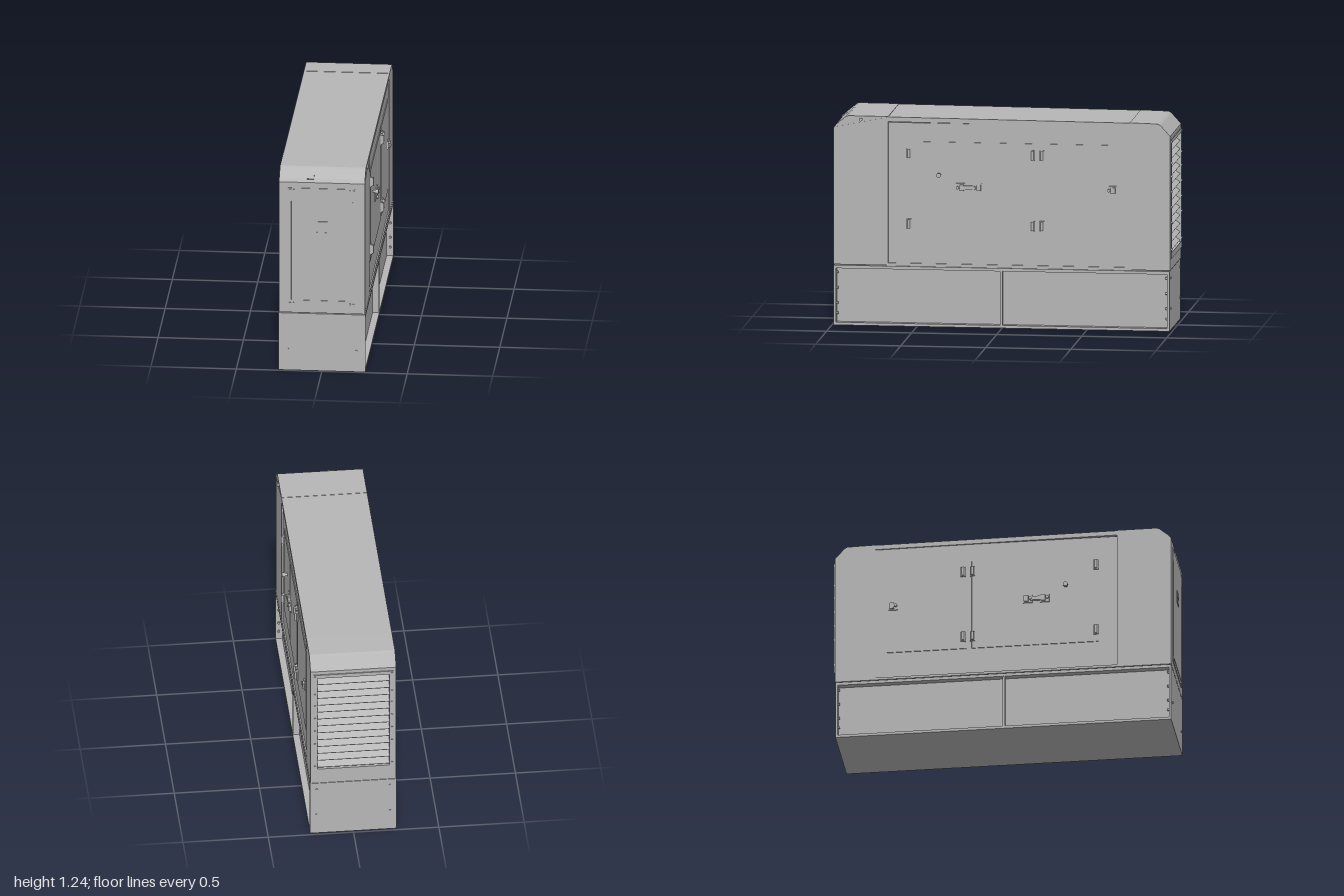
import * as THREE from 'three';

const paint = new THREE.MeshStandardMaterial({ color: 0xb6b6b6 });
paint.name = 'grey paint';

export function createModel() {
  const root = new THREE.Group();
  root.name = 'generatorEnclosure';

  function add(name, geo, parent = root, x = 0, y = 0, z = 0) {
    const m = new THREE.Mesh(geo, paint);
    m.name = name;
    m.position.set(x, y, z);
    parent.add(m);
    return m;
  }
  // Box given by its limits on each axis
  function block(name, x0, x1, y0, y1, z0, z1, parent = root) {
    return add(name, new THREE.BoxGeometry(x1 - x0, y1 - y0, z1 - z0), parent,
      (x0 + x1) / 2, (y0 + y1) / 2, (z0 + z1) / 2);
  }
  // Side profile of [z, y] points, extruded across the width
  function profile(name, pts, half) {
    const geo = new THREE.ExtrudeGeometry(new THREE.Shape(pts.map(p => new THREE.Vector2(...p))),
      { depth: half * 2, bevelEnabled: false });
    geo.translate(0, 0, -half).rotateY(-Math.PI / 2);
    return add(name, geo);
  }
  function rect(x0, x1, y0, y1, Type = THREE.Shape) {
    return new Type([[x0, y0], [x1, y0], [x1, y1], [x0, y1]].map(p => new THREE.Vector2(...p)));
  }
  // Cylinder along x or z
  function rod(name, r, len, axis, x, y, z, parent = root) {
    const geo = new THREE.CylinderGeometry(r, r, len, 14);
    if (axis === 'x') geo.rotateZ(Math.PI / 2);
    else geo.rotateX(Math.PI / 2);
    return add(name, geo, parent, x, y, z);
  }

  // Base tank with flanged, recessed sides
  block('baseCore', -0.215, 0.215, 0.01, 0.345, -0.975, 0.98);
  block('baseBottomFlange', -0.254, 0.254, 0, 0.016, -0.985, 0.99);
  block('baseTopFlange', -0.254, 0.254, 0.335, 0.353, -0.985, 0.99);
  block('baseFrontPlate', -0.254, 0.254, 0.016, 0.335, 0.976, 0.99);
  block('baseRearPlate', -0.254, 0.254, 0.016, 0.335, -0.985, -0.971);
  for (const s of [-1, 1]) {
    rod('baseFrontScrew', 0.007, 0.008, 'z', s * 0.2, 0.13, 0.991);
    for (const y of [0.13, 0.31]) rod('baseRearScrew', 0.007, 0.008, 'z', s * 0.215, y, -0.986);
  }

  // Main housing between the hoods, with a slightly overhanging roof
  block('housing', -0.243, 0.243, 0.353, 1.2, -0.76, 0.68);
  profile('roof', [[0.67, 1.205], [0.67, 1.233], [-0.75, 1.224], [-0.75, 1.196]], 0.251);
  for (const s of [-1, 1]) {
    block('housingSill', s * 0.247 - 0.004, s * 0.247 + 0.004, 0.358, 0.372, -0.75, 0.67);
  }

  // Front hood with sloped nose
  profile('frontHood', [[0.67, 0.358], [0.99, 0.358], [0.99, 1.165], [0.975, 1.185],
    [0.92, 1.23], [0.905, 1.236], [0.67, 1.235]], 0.251);
  // Rear hood, set back behind the louvre opening
  profile('rearHood', [[-0.75, 0.358], [-0.75, 1.226], [-0.915, 1.222], [-0.93, 1.214],
    [-0.988, 1.15], [-0.988, 1.14], [-0.92, 1.14], [-0.92, 0.358]], 0.251);

  // Rear louvre frame
  const wall = rect(-0.251, 0.251, 0.358, 1.141);
  wall.holes.push(rect(-0.212, 0.212, 0.46, 1.105, THREE.Path));
  add('rearFrame', new THREE.ExtrudeGeometry(wall, { depth: 0.075, bevelEnabled: false }), root, 0, 0, -0.988);
  const rim = rect(-0.235, 0.235, 0.425, 1.128);
  rim.holes.push(rect(-0.212, 0.212, 0.46, 1.105, THREE.Path));
  add('louvreRim', new THREE.ExtrudeGeometry(rim, { depth: 0.006, bevelEnabled: false }), root, 0, 0, -0.994);
  for (let i = 0; i < 13; i++) {
    const slat = add('louvreSlat', new THREE.BoxGeometry(0.424, 0.005, 0.072), root, 0, 0.487 + i * 0.049, -0.956);
    slat.rotation.x = -0.6;
  }
  for (const s of [-1, 1]) {
    for (const y of [0.48, 0.64, 0.73, 0.82, 0.91, 0.99, 1.115]) {
      rod('rearFrameBolt', 0.006, 0.008, 'z', s * 0.225, y, -0.995);
    }
  }

  // Front access panel with raised border, corner screws and latch
  block('frontPanel', -0.197, 0.195, 0.407, 1.13, 0.985, 0.994);
  for (const s of [-1, 1]) {
    block('panelSideBead', s * 0.181 - 0.002, s * 0.181 + 0.002, 0.44, 1.05, 0.99, 0.997);
    for (const y of [0.417, 1.118]) {
      for (const x of [0.165, 0.185]) rod('panelScrew', 0.006, 0.008, 'z', s * x, y, 0.995);
    }
  }
  block('panelBottomBead', -0.16, 0.16, 0.433, 0.437, 0.99, 0.997);
  const latchRim = rect(-0.036, 0.034, 0.855, 0.927);
  latchRim.holes.push(rect(-0.031, 0.029, 0.86, 0.922, THREE.Path));
  add('panelLatchRim', new THREE.ExtrudeGeometry(latchRim, { depth: 0.006, bevelEnabled: false }), root, 0, 0, 0.993);
  block('panelLatchHandle', -0.031, 0.029, 0.894, 0.922, 0.99, 0.998);

  // Small plate on the nose slope and hook with sloping trim on the left side
  const plate = add('nosePlate', new THREE.BoxGeometry(0.04, 0.034, 0.008), root, -0.067, 1.194, 0.967);
  plate.rotation.x = -0.87;
  const trim = add('hoodTrim', new THREE.BoxGeometry(0.004, 0.005, 0.325), root, 0.251, 1.198, 0.828);
  trim.rotation.x = 0.2;
  rod('hoodHook', 0.01, 0.016, 'x', 0.253, 1.215, 0.83);

  // Doors and their hardware on both sides
  for (const s of [-1, 1]) {
    const side = new THREE.Group();
    side.name = s > 0 ? 'leftDoors' : 'rightDoors';
    root.add(side);
    // Box lying on the side wall, given z and y centre, size and outer reach
    const fit = (name, z, y, w, h, reach) => {
      const a = s * 0.238, b = s * reach;
      return block(name, Math.min(a, b), Math.max(a, b), y - h / 2, y + h / 2, z - w / 2, z + w / 2, side);
    };
    for (const [z0, z1] of [[0.203, 0.562], [-0.18, 0.197], [-0.69, -0.226]]) {
      fit('door', (z0 + z1) / 2, 0.81, z1 - z0, 0.56, 0.248);
    }
    fit('doorPost', -0.203, 0.81, 0.038, 0.56, 0.246);
    for (const y of [0.605, 1.022]) {
      for (const z of [0.547, -0.178, -0.235]) {
        fit('hingeLeaf', z, y, 0.03, 0.06, 0.256);
        const pin = add('hingeBarrel', new THREE.CylinderGeometry(0.008, 0.008, 0.052, 12), side, s * 0.259, y, z);
        pin.scale.y = 1;
      }
    }
    for (const z of [0.245, 0.145, -0.645]) {
      fit('latchPlate', z, 0.825, 0.055, 0.05, 0.255);
      fit('latchHandle', z - 0.008, 0.825, 0.026, 0.036, 0.264);
      rod('latchLock', 0.009, 0.012, 'x', s * 0.264, 0.825, z + 0.016, side);
    }
    fit('latchBridge', 0.195, 0.825, 0.07, 0.024, 0.262);
    // Round knob on the front door
    rod('knobStem', 0.009, 0.03, 'x', s * 0.257, 0.897, 0.37, side);
    rod('knobHead', 0.014, 0.016, 'x', s * 0.272, 0.897, 0.37, side);

    // Centre web and end bolts in the base recess
    const w = s * 0.233;
    block('baseWeb', w - 0.02, w + 0.02, 0.014, 0.337, -0.002, 0.012);
    for (const y of [0.07, 0.13, 0.22, 0.31]) {
      rod('baseEndBolt', 0.007, 0.014, 'z', s * 0.236, y, 0.972);
      rod('baseEndBolt', 0.007, 0.014, 'z', s * 0.236, y, -0.967);
    }
  }
  return root;
}
